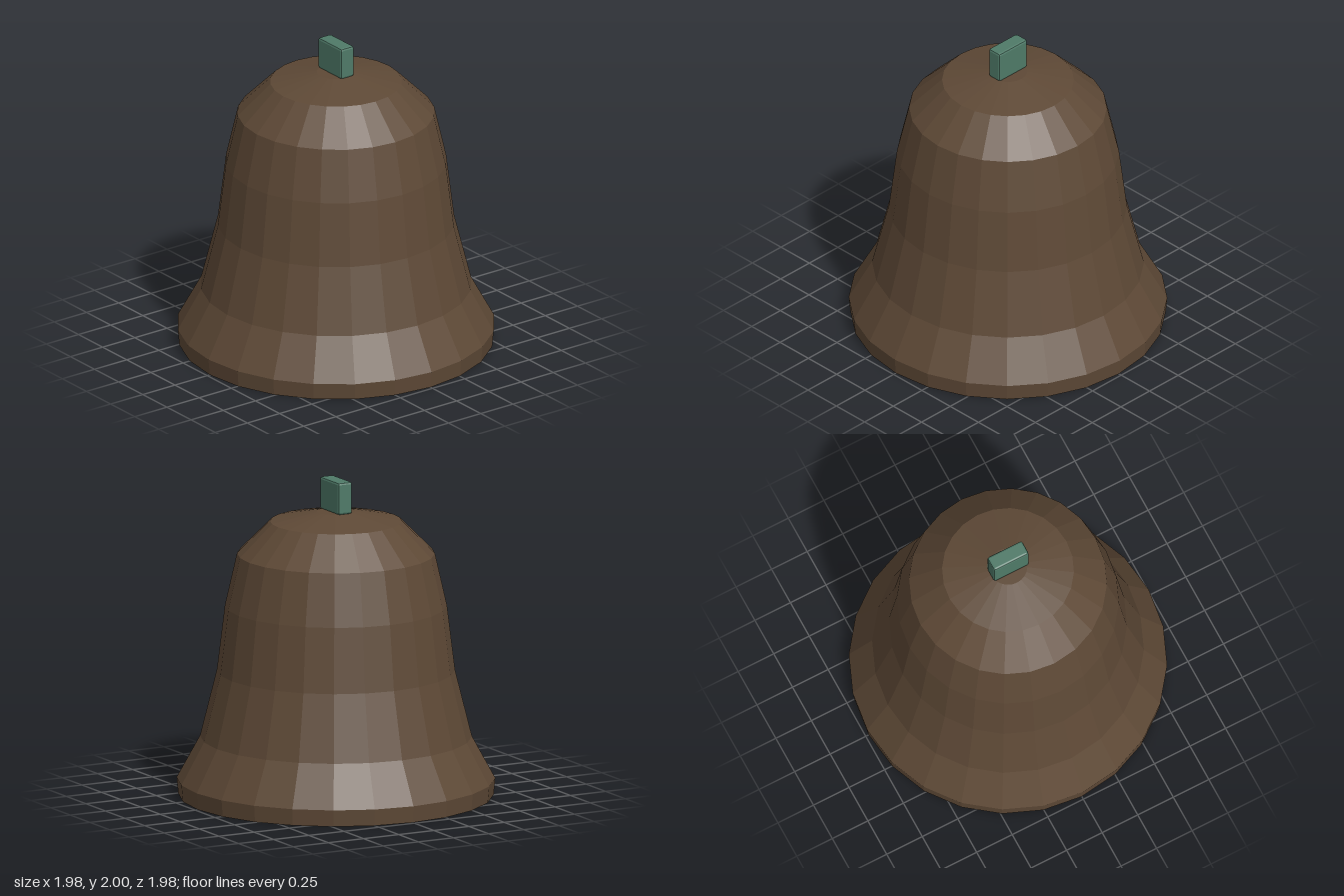
import * as THREE from 'three';
import { RoundedBoxGeometry } from 'three/addons/geometries/RoundedBoxGeometry.js';

const bronze = new THREE.MeshStandardMaterial({ color: 0x5e4936, flatShading: true });
bronze.name = 'bronze';
const patina = new THREE.MeshStandardMaterial({ color: 0x4f7a68, flatShading: true });
patina.name = 'green patina';

// Faceted solid of revolution from [radius, height] pairs
function turned(name, profile, sides) {
  const points = profile.map(([r, y]) => new THREE.Vector2(r, y));
  const mesh = new THREE.Mesh(new THREE.LatheGeometry(points, sides), bronze);
  mesh.name = name;
  return mesh;
}

export function createModel() {
  const model = new THREE.Group();
  model.name = 'bell';

  // Hollow shell: down the inside, across the slanted lip, up the outside
  model.add(turned('bellShell', [
    [0, 1.69], [0.11, 1.69], [0.36, 1.64], [0.525, 1.48], [0.59, 1.18], [0.64, 0.775], [0.745, 0.34],
    [0.87, 0.065], [0.98, 0], [0.99, 0.105], [0.845, 0.37], [0.74, 0.79], [0.69, 1.2],
    [0.615, 1.53], [0.41, 1.735], [0.12, 1.797], [0, 1.797],
  ], 24));

  // Clapper hanging from the crown
  model.add(turned('clapper', [
    [0, 0.4], [0.045, 0.4], [0.13, 0.49], [0.14, 0.54], [0.12, 0.62], [0.05, 0.72], [0.03, 1.69],
  ], 12));

  // Bevelled hanging block on the crown
  const hanger = new THREE.Mesh(new RoundedBoxGeometry(0.245, 0.204, 0.1, 1, 0.014), patina);
  hanger.name = 'hangingBlock';
  hanger.position.y = 1.898;
  model.add(hanger);

  return model;
}
